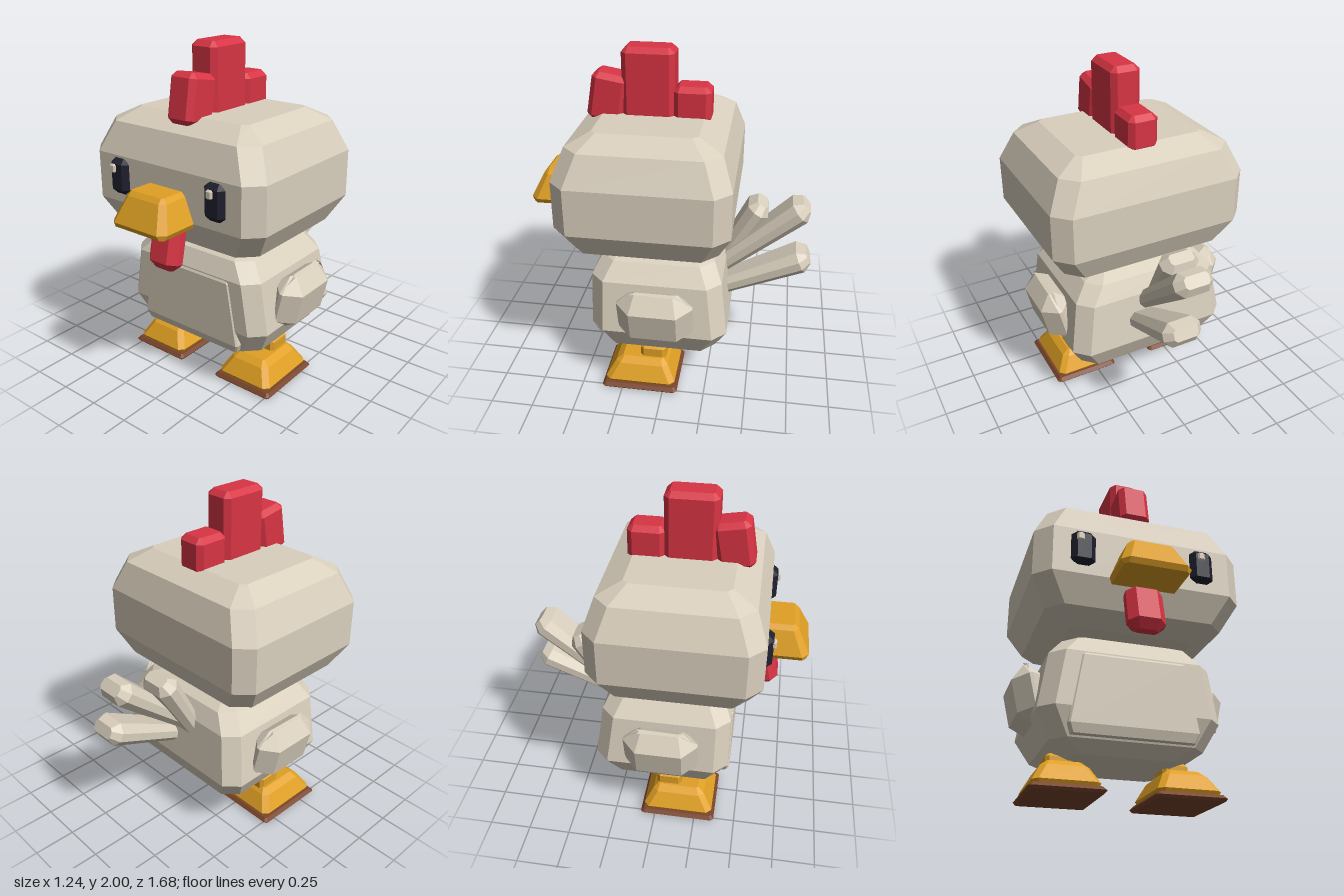
import * as THREE from 'three';

const mat = (name, color) => {
  const m = new THREE.MeshStandardMaterial({ color });
  m.name = name;
  return m;
};

// Stack of chamfered rectangles; each ring is [y, halfWidth, zBack, zFront, chamfer]
function loft(rings) {
  const pos = [];
  const loops = rings.map(([y, h, b, f, c]) => [
    [h, y, f - c], [h, y, b + c], [h - c, y, b], [c - h, y, b],
    [-h, y, b + c], [-h, y, f - c], [c - h, y, f], [h - c, y, f],
  ]);
  const tri = (a, b, c) => pos.push(...a, ...b, ...c);
  for (let r = 0; r < loops.length - 1; r++) {
    const lo = loops[r], hi = loops[r + 1];
    for (let i = 0; i < 8; i++) {
      const j = (i + 1) % 8;
      tri(lo[i], lo[j], hi[j]);
      tri(lo[i], hi[j], hi[i]);
    }
  }
  const bottom = loops[0], top = loops[loops.length - 1];
  for (let i = 1; i < 7; i++) {
    tri(bottom[0], bottom[i + 1], bottom[i]);
    tri(top[0], top[i], top[i + 1]);
  }
  const g = new THREE.BufferGeometry();
  g.setAttribute('position', new THREE.Float32BufferAttribute(pos, 3));
  g.computeVertexNormals();
  return g;
}

// Centred box with every edge bevelled
function bevelBox(w, h, d, b) {
  const x = w / 2, y = h / 2, z = d / 2, k = b * 0.3;
  return loft([
    [-y, x - b, b - z, z - b, k], [b - y, x, -z, z, b],
    [y - b, x, -z, z, b], [y, x - b, b - z, z - b, k],
  ]);
}

export function createModel() {
  const group = new THREE.Group();
  group.name = 'chick';
  const cream = mat('cream feathers', 0xd9cfbd);
  const red = mat('red comb', 0xd83444);
  const yellow = mat('yellow beak', 0xe0a024);
  const brown = mat('brown sole', 0x7a452b);
  const dark = mat('dark eye', 0x1e202e);

  const add = (name, geo, material, x = 0, y = 0, z = 0, rx = 0, rz = 0) => {
    const m = new THREE.Mesh(geo, material);
    m.name = name;
    m.position.set(x, y, z);
    m.rotation.set(rx, 0, rz);
    group.add(m);
    return m;
  };

  // Head
  add('head', loft([
    [0.88, 0.36, -0.18, 0.40, 0.03],
    [0.945, 0.51, -0.31, 0.53, 0.09],
    [1.10, 0.60, -0.38, 0.60, 0.09],
    [1.375, 0.60, -0.38, 0.60, 0.09],
    [1.55, 0.52, -0.32, 0.535, 0.09],
    [1.62, 0.385, -0.18, 0.40, 0.03],
  ]), cream);

  // Body with chest panel
  add('body', loft([
    [0.21, 0.29, -0.17, 0.29, 0.03],
    [0.27, 0.43, -0.30, 0.38, 0.08],
    [0.42, 0.51, -0.37, 0.435, 0.08],
    [0.73, 0.46, -0.33, 0.435, 0.08],
    [0.83, 0.38, -0.28, 0.385, 0.08],
    [0.88, 0.27, -0.18, 0.29, 0.03],
  ]), cream);
  add('chestPanel', loft([
    [0.28, 0.34, 0.3, 0.425, 0.01],
    [0.33, 0.36, 0.3, 0.442, 0.01],
    [0.71, 0.295, 0.3, 0.442, 0.01],
    [0.74, 0.275, 0.3, 0.425, 0.01],
  ]), cream);

  // Beak and wattle
  add('beak', loft([
    [1.07, 0.18, 0.5, 0.825, 0.02],
    [1.10, 0.195, 0.5, 0.84, 0.04],
    [1.24, 0.14, 0.5, 0.77, 0.03],
    [1.265, 0.115, 0.5, 0.745, 0.01],
  ]), yellow);
  add('wattle', bevelBox(0.21, 0.29, 0.13, 0.045), red, 0, 0.935, 0.597, -0.22);

  // Comb
  add('combMiddle', bevelBox(0.18, 0.45, 0.3, 0.03), red, 0, 1.775, 0.14);
  add('combFront', bevelBox(0.18, 0.28, 0.21, 0.03), red, 0, 1.705, 0.375, -0.17);
  add('combBack', bevelBox(0.18, 0.21, 0.215, 0.03), red, 0, 1.685, -0.107);

  // Tail feathers: [x, tip y, tip z, base y, base z]
  [
    [0.0, 1.09, -0.79, 0.64, -0.28],
    [0.07, 0.79, -0.82, 0.53, -0.28],
    [-0.065, 1.06, -0.53, 0.60, -0.27],
  ].forEach(([x, ty, tz, by, bz]) => {
    const dy = ty - by, dz = tz - bz, len = Math.hypot(dy, dz);
    add('tailFeather', loft([
      [0, 0.085, -0.05, 0.05, 0.03],
      [len - 0.05, 0.118, -0.07, 0.07, 0.045],
      [len, 0.075, -0.035, 0.035, 0.015],
    ]), cream, x, by, bz, Math.atan2(dz, dy));
  });

  // Mirrored parts
  for (const s of [1, -1]) {
    const side = s > 0 ? 'left' : 'right';
    add(side + 'Wing', bevelBox(0.19, 0.36, 0.44, 0.085), cream, s * 0.508, 0.555, 0.04, 0, -s * 0.23);
    add(side + 'Eye', bevelBox(0.137, 0.21, 0.07, 0.03), dark, s * 0.343, 1.257, 0.597);
    add(side + 'EyeGlint', bevelBox(0.04, 0.05, 0.03, 0.008), cream, s * 0.35 - 0.016, 1.307, 0.632);
    const x = s * 0.332;
    add(side + 'Leg', bevelBox(0.155, 0.14, 0.155, 0.02), yellow, x, 0.18, 0.075);
    add(side + 'Foot', loft([
      [0.03, 0.165, -0.055, 0.34, 0.02],
      [0.055, 0.18, -0.07, 0.355, 0.03],
      [0.145, 0.13, -0.02, 0.3, 0.03],
      [0.175, 0.09, 0.01, 0.26, 0.01],
    ]), yellow, x);
    add(side + 'Sole', loft([
      [0, 0.19, -0.075, 0.36, 0.01],
      [0.015, 0.203, -0.088, 0.373, 0.015],
      [0.035, 0.185, -0.07, 0.355, 0.01],
    ]), brown, x);
  }
  return group;
}
